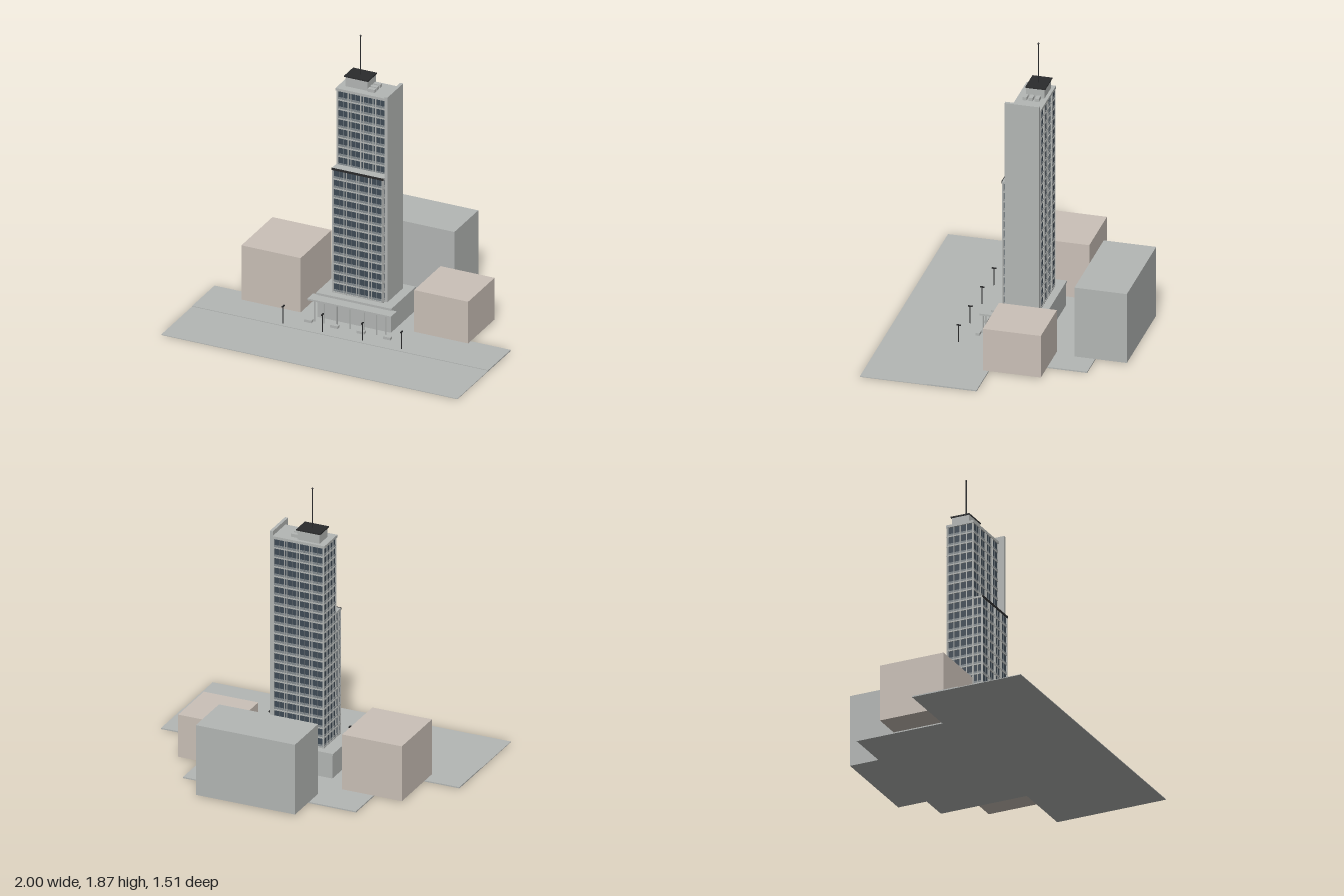
import * as THREE from 'three';

const mat = (name, color) => {
  const m = new THREE.MeshStandardMaterial({ color });
  m.name = name;
  return m;
};

export function createModel() {
  const root = new THREE.Group();
  root.name = 'towerBlock';
  const concrete = mat('concrete', 0xb4b7b5);
  const stone = mat('tanStone', 0xcbc1b8);
  const glass = mat('darkGlass', 0x3f4b56);
  const spandrel = mat('spandrel', 0x858c90);
  const black = mat('blackMetal', 0x2a2b2c);

  // Box given by its limits on each axis
  const box = (name, m, x0, x1, y0, y1, z0, z1, parent = root) => {
    const mesh = new THREE.Mesh(new THREE.BoxGeometry(x1 - x0, y1 - y0, z1 - z0), m);
    mesh.position.set((x0 + x1) / 2, (y0 + y1) / 2, (z0 + z1) / 2);
    mesh.name = name;
    parent.add(mesh);
    return mesh;
  };
  const pole = (name, m, r, x, y0, y1, z, parent = root) => {
    const mesh = new THREE.Mesh(new THREE.CylinderGeometry(r, r, y1 - y0, 8), m);
    mesh.position.set(x, (y0 + y1) / 2, z);
    mesh.name = name;
    parent.add(mesh);
  };

  // Ground
  box('road', concrete, -1, 1, 0, 0.004, 0.33, 0.755);
  box('sidewalk', concrete, -1, 1, 0, 0.008, 0.02, 0.33);
  box('plaza', concrete, -0.58, 0.58, 0, 0.008, -0.56, 0.02);

  // Neighbouring blocks
  box('leftNeighbour', stone, 0.365, 0.73, 0.008, 0.29, -0.31, 0.055);
  box('rightNeighbour', stone, -0.77, -0.37, 0.008, 0.375, -0.31, 0.12);
  box('rearNeighbour', concrete, -0.265, 0.4, 0.008, 0.475, -0.76, -0.43);

  // Podium, entrance canopy and columns
  box('podium', concrete, -0.25, 0.245, 0.008, 0.163, -0.195, 0.13);
  box('podiumRoof', concrete, -0.257, 0.252, 0.163, 0.175, -0.2, 0.138);
  box('canopy', concrete, -0.285, 0.28, 0.145, 0.156, 0.12, 0.2);
  for (const x of [-0.24, -0.18, -0.09, 0, 0.09, 0.18, 0.24]) {
    pole('canopyColumn', concrete, 0.005, x, 0.008, 0.145, 0.19);
  }

  // Glazed block with floor slabs, spandrels and mullions
  const floorH = 0.0637, base = 0.175;
  const glazedBlock = (name, x0, x1, z0, z1, floors, sideBays) => {
    const g = new THREE.Group();
    g.name = name;
    root.add(g);
    const top = base + floors * floorH;
    box('glazing', glass, x0, x1, base, top, z0, z1, g);
    for (let i = 0; i < floors; i++) {
      const y = base + i * floorH;
      box('floorSlab', concrete, x0 - 0.005, x1 + 0.005, y, y + 0.008, z0 - 0.005, z1 + 0.005, g);
      box('spandrelBand', spandrel, x0 - 0.002, x1 + 0.002, y + 0.008, y + 0.022, z0 - 0.002, z1 + 0.002, g);
    }
    const bays = 4;
    for (let i = 0; i <= bays; i++) {
      const x = x0 + ((x1 - x0) * i) / bays;
      const offsets = i === 0 || i === bays ? [0] : [-0.009, 0.009];
      for (const o of offsets) {
        for (const z of [z0, z1]) {
          box('mullion', concrete, x + o - 0.0025, x + o + 0.0025, base, top, z - 0.006, z + 0.006, g);
        }
      }
    }
    // Thin bars halve every bay
    for (let i = 0; i < bays; i++) {
      const x = x0 + ((x1 - x0) * (i + 0.5)) / bays;
      for (const z of [z0, z1]) {
        box('windowBar', spandrel, x - 0.001, x + 0.001, base, top, z - 0.003, z + 0.003, g);
      }
    }
    for (let i = 0; i <= sideBays; i++) {
      const z = z0 + ((z1 - z0) * i) / sideBays;
      for (const x of [x0, x1]) {
        box('sideMullion', concrete, x - 0.006, x + 0.006, base, top, z - 0.0025, z + 0.0025, g);
      }
    }
    return top;
  };
  const roofY = glazedBlock('mainTower', -0.168, 0.168, -0.147, 0.025, 21, 4);
  const wingY = glazedBlock('frontWing', -0.168, 0.168, 0.025, 0.085, 13, 2);

  // Wing cap with a dark edge strip
  box('wingRoof', concrete, -0.174, 0.174, wingY, wingY + 0.012, 0.025, 0.089);
  box('wingEdge', black, -0.174, 0.174, wingY, wingY + 0.014, 0.089, 0.093);

  // Tower roof, blank side wall and roof plant
  box('towerRoof', concrete, -0.177, 0.172, roofY, 1.53, -0.154, 0.032);
  box('sideWall', concrete, 0.171, 0.191, 0.008, 1.56, -0.15, 0.068);
  box('penthouse', concrete, -0.135, 0.014, 1.53, 1.592, -0.133, -0.018);
  box('penthouseRoof', black, -0.142, 0.019, 1.592, 1.6, -0.14, -0.015);
  for (const z of [-0.1, -0.06, -0.022]) {
    box('roofUnit', concrete, 0.019, 0.066, 1.53, 1.551, z - 0.013, z + 0.013);
  }
  pole('antenna', black, 0.0035, -0.06, 1.6, 1.86, -0.075);
  const tip = new THREE.Mesh(new THREE.SphereGeometry(0.006, 10, 8), black);
  tip.position.set(-0.06, 1.862, -0.075);
  tip.name = 'antennaTip';
  root.add(tip);

  // Street lamps and benches
  for (const x of [-0.4, -0.135, 0.135, 0.4]) {
    pole('lampPost', black, 0.003, x, 0.004, 0.122, 0.3);
    box('lampHead', black, x - 0.004, x + 0.004, 0.12, 0.127, 0.285, 0.313);
  }
  for (const x of [-0.27, -0.093, 0.085, 0.262]) {
    box('bench', concrete, x - 0.025, x + 0.025, 0.008, 0.025, 0.2, 0.226);
  }

  return root;
}
